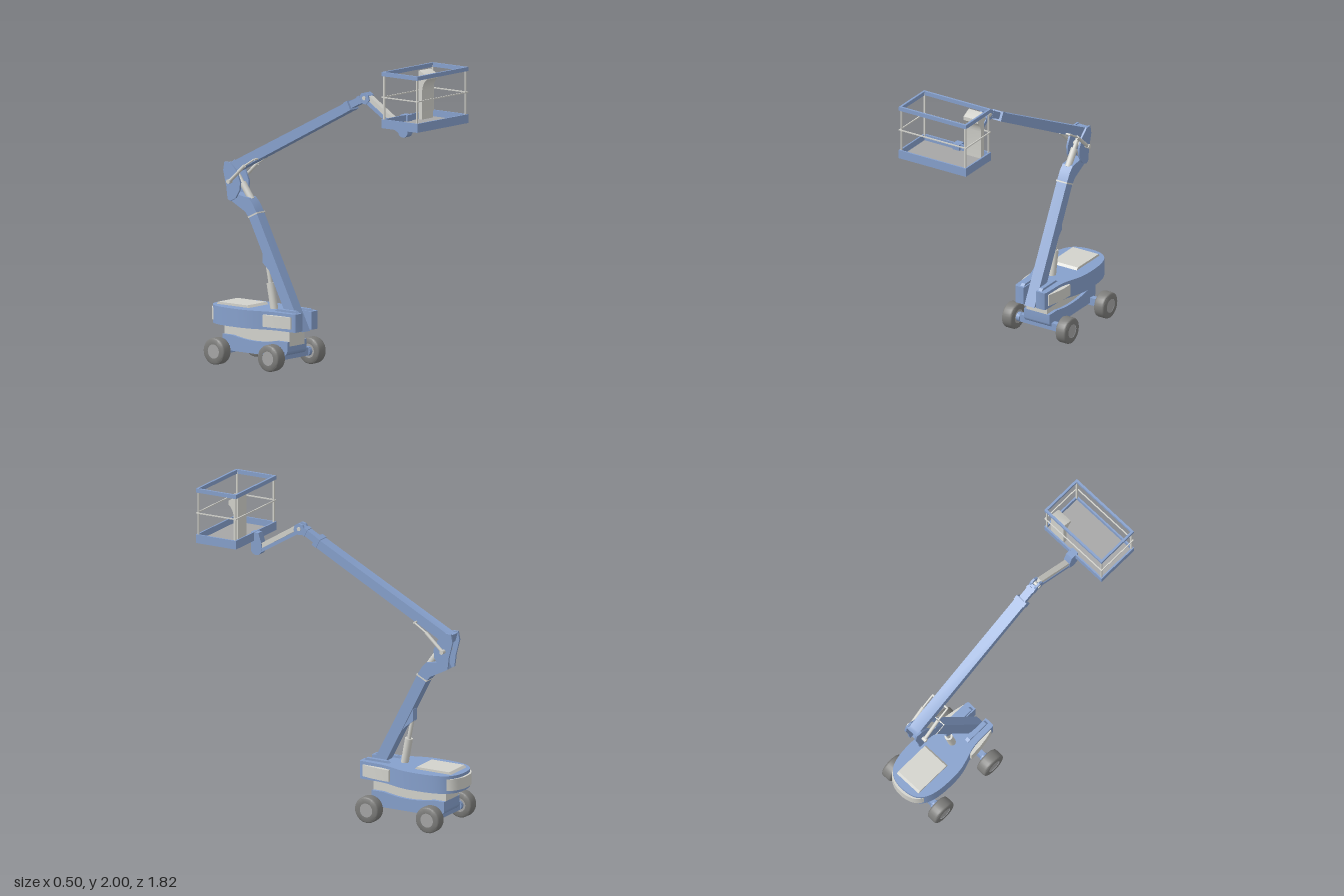
import * as THREE from 'three';
import { toCreasedNormals } from 'three/addons/utils/BufferGeometryUtils.js';

export function createModel() {
  const mat = (name, color) => {
    const m = new THREE.MeshStandardMaterial({ color });
    m.name = name;
    return m;
  };
  const blue = mat('blue paint', 0x86a0cc);
  const light = mat('light grey', 0xd2d2cc);
  const grey = mat('floor grey', 0xa5a5a5);
  const rubber = mat('tyre grey', 0x7c7c7a);

  const model = new THREE.Group();
  model.name = 'boomLift';
  const CX = 0.004; // the undercarriage sits a touch to the left

  const add = (name, geo, material) => {
    const mesh = new THREE.Mesh(geo, material);
    mesh.name = name;
    model.add(mesh);
    return mesh;
  };
  const box = (name, m, w, h, d, x, y, z) => {
    const b = add(name, new THREE.BoxGeometry(w, h, d), m);
    b.position.set(x, y, z);
    return b;
  };
  // Cylinder between two points
  const rod = (name, m, a, b, r, seg = 16) => {
    const p = new THREE.Vector3(...a), q = new THREE.Vector3(...b);
    const d = q.clone().sub(p);
    const c = add(name, new THREE.CylinderGeometry(r, r, d.length(), seg), m);
    c.position.copy(p).add(q).multiplyScalar(0.5);
    c.quaternion.setFromUnitVectors(new THREE.Vector3(0, 1, 0), d.normalize());
    return c;
  };
  // Rectangular beam between two (z, y) points
  const beam = (name, m, [z1, y1], [z2, y2], w, t, x = 0) => {
    const b = box(name, m, w, t, Math.hypot(z2 - z1, y2 - y1), x, (y1 + y2) / 2, (z1 + z2) / 2);
    b.rotation.x = Math.atan2(y1 - y2, z2 - z1);
    return b;
  };
  const shapeOf = (pts) => new THREE.Shape(pts.map((p) => new THREE.Vector2(p[0], p[1])));
  const extrude = (shape, depth) =>
    toCreasedNormals(new THREE.ExtrudeGeometry(shape, { depth, bevelEnabled: false, curveSegments: 16 }), 0.6);
  // Side profile in (z, y), extruded across x
  const side = (name, m, shape, w, x = 0) => {
    const g = extrude(shape, w);
    g.translate(0, 0, -w / 2).rotateY(-Math.PI / 2).translate(x, 0, 0);
    return add(name, g, m);
  };
  // Plan outline in (x, -z), extruded upwards from y0 to y1
  const plan = (name, m, shape, y0, y1, x = CX) => {
    const g = extrude(shape, y1 - y0);
    g.rotateX(-Math.PI / 2).translate(x, y0, 0);
    return add(name, g, m);
  };

  // Wheels, hubs and axles
  const tyre = [[0.045, -0.038], [0.074, -0.038], [0.082, -0.033], [0.085, -0.024],
    [0.085, 0.024], [0.082, 0.033], [0.074, 0.038], [0.045, 0.038]];
  const tyreGeo = toCreasedNormals(
    new THREE.LatheGeometry(tyre.map((p) => new THREE.Vector2(...p)), 32).rotateZ(Math.PI / 2), 0.7);
  for (const z of [-0.317, -0.757]) {
    for (const s of [-1, 1]) {
      const x = CX + s * 0.2;
      add('tyre', tyreGeo, rubber).position.set(x, 0.085, z);
      rod('hub', grey, [x - 0.034, 0.085, z], [x + 0.034, 0.085, z], 0.046, 24);
      rod('axleFlange', blue, [CX + s * 0.14, 0.085, z], [CX + s * 0.165, 0.085, z], 0.03);
    }
    box('axle', blue, 0.32, 0.05, 0.036, CX, 0.086, z);
  }

  // Chassis with a dipped top
  const chassis = new THREE.Shape();
  chassis.moveTo(-0.80, 0.12);
  chassis.quadraticCurveTo(-0.80, 0.075, -0.70, 0.075);
  chassis.lineTo(-0.38, 0.075);
  chassis.quadraticCurveTo(-0.275, 0.075, -0.275, 0.12);
  chassis.lineTo(-0.275, 0.175);
  chassis.lineTo(-0.36, 0.175);
  chassis.quadraticCurveTo(-0.54, 0.135, -0.72, 0.175);
  chassis.lineTo(-0.80, 0.175);
  side('chassis', blue, chassis, 0.19, CX);
  box('slewBase', light, 0.15, 0.105, 0.525, CX, 0.1975, -0.5375);

  // Turret body: rounded rear, narrow front with a slot for the boom
  const body = new THREE.Shape();
  body.moveTo(0.045, 0.195);
  body.lineTo(0.105, 0.195);
  body.quadraticCurveTo(0.115, 0.2, 0.115, 0.22);
  body.lineTo(0.118, 0.34);
  body.bezierCurveTo(0.125, 0.45, 0.175, 0.48, 0.176, 0.62);
  body.bezierCurveTo(0.18, 0.83, 0.13, 0.895, 0, 0.895);
  body.bezierCurveTo(-0.13, 0.895, -0.18, 0.83, -0.176, 0.62);
  body.bezierCurveTo(-0.175, 0.48, -0.125, 0.45, -0.118, 0.34);
  body.lineTo(-0.115, 0.22);
  body.quadraticCurveTo(-0.115, 0.2, -0.105, 0.195);
  body.lineTo(-0.045, 0.195);
  body.lineTo(-0.045, 0.33);
  body.lineTo(0.045, 0.33);
  plan('turret', blue, body, 0.245, 0.36);

  // Rear counterweight band, side panels, deck rails and hatch
  const weight = new THREE.Shape();
  weight.moveTo(-0.135, 0.84);
  weight.bezierCurveTo(-0.1, 0.935, 0.1, 0.935, 0.135, 0.84);
  plan('counterweight', light, weight, 0.265, 0.34);
  for (const s of [-1, 1]) {
    const pts = [[0.1, 0.225], [0.122, 0.225], [0.137, 0.29], [0.148, 0.36], [0.15, 0.43], [0.1, 0.43]];
    plan('sidePanel', light, shapeOf(pts.map(([x, z]) => [s * x, z])), 0.265, 0.34);
    const rail = [[-0.21, 0.36], [-0.225, 0.374], [-0.37, 0.374], [-0.39, 0.36]];
    side('deckRail', blue, shapeOf(rail), 0.026, CX + s * 0.066);
  }
  side('rearHatch', light,
    shapeOf([[-0.85, 0.358], [-0.835, 0.375], [-0.60, 0.375], [-0.585, 0.358]]), 0.19, CX);

  // Lower boom with cranked head and cylinder bracket
  side('lowerBoom', blue, shapeOf([[-0.196, 0.24], [-0.571, 0.96], [-0.603, 1.013], [-0.635, 1.045],
    [-0.75, 1.062], [-0.775, 1.013], [-0.661, 0.955], [-0.63, 0.918], [-0.35, 0.373], [-0.28, 0.24]]), 0.074);
  side('cylinderBracket', blue, shapeOf([[-0.44, 0.56], [-0.471, 0.595], [-0.529, 0.643],
    [-0.529, 0.717], [-0.5, 0.72]]), 0.05);
  beam('boomBand', light, [-0.598, 0.936], [-0.602, 0.944], 0.08, 0.082);
  rod('liftCylinder', light, [0, 0.35, -0.455], [0, 0.52, -0.487], 0.025);
  rod('liftRod', light, [0, 0.52, -0.487], [0, 0.64, -0.512], 0.013);

  // Elbow plates and the rams around them
  const elbow = [[-0.693, 1.14], [-0.725, 1.21], [-0.778, 1.257], [-0.82, 1.257], [-0.83, 1.204],
    [-0.804, 1.103], [-0.794, 1.024], [-0.772, 1.013], [-0.73, 1.035], [-0.698, 1.088]];
  for (const s of [-1, 1]) {
    side('elbowPlate', blue, shapeOf(elbow), 0.013, s * 0.043);
    rod('elbowRam', light, [s * 0.064, 1.14, -0.767], [s * 0.064, 1.25, -0.645], 0.011);
    rod('elbowRamRod', light, [s * 0.064, 1.25, -0.645], [s * 0.064, 1.3, -0.565], 0.006);
  }
  rod('elbowPin', light, [-0.08, 1.14, -0.767], [0.08, 1.14, -0.767], 0.014);
  rod('ramCrossPin', light, [-0.068, 1.3, -0.562], [0.068, 1.3, -0.562], 0.007);
  rod('centreRam', light, [0, 1.03, -0.64], [0, 1.13, -0.712], 0.022);
  rod('centreRamRod', light, [0, 1.13, -0.712], [0, 1.2, -0.762], 0.013);

  // Upper telescopic boom
  side('upperBoom', blue, shapeOf([[-0.82, 1.25], [-0.79, 1.25], [0.15, 1.73], [0.175, 1.68],
    [0.15, 1.665], [-0.74, 1.2], [-0.80, 1.19]]), 0.074);
  beam('boomCollar', blue, [0.15, 1.70], [0.18, 1.716], 0.084, 0.062);
  beam('innerBoom', blue, [0.14, 1.697], [0.285, 1.772], 0.05, 0.044);
  beam('innerCollar', blue, [0.245, 1.752], [0.265, 1.762], 0.058, 0.05);

  // Knuckle and jib
  for (const s of [-1, 1]) {
    side('knucklePlate', blue, shapeOf([[0.25, 1.765], [0.27, 1.8], [0.3, 1.808], [0.325, 1.793],
      [0.335, 1.76], [0.31, 1.733], [0.275, 1.737]]), 0.014, s * 0.021);
  }
  rod('knucklePin', light, [-0.032, 1.772, 0.295], [0.032, 1.772, 0.295], 0.013);
  beam('jib', blue, [0.3, 1.752], [0.6, 1.572], 0.044, 0.022);
  beam('jibRam', light, [0.32, 1.775], [0.585, 1.611], 0.036, 0.03);

  // Rotator holding the basket
  const rot = new THREE.Shape();
  rot.moveTo(0.645, 1.70);
  rot.lineTo(0.59, 1.70);
  rot.lineTo(0.57, 1.64);
  rot.lineTo(0.567, 1.593);
  rot.absarc(0.606, 1.593, 0.039, Math.PI, Math.PI * 2, false);
  side('rotator', blue, rot, 0.05);

  // Basket: floor, toe boards, posts and rails
  const X = 0.25, Z0 = 0.622, Z1 = 0.912, ZC = (Z0 + Z1) / 2, BX = -0.002;
  box('basketFloor', grey, 0.49, 0.012, 0.28, BX, 1.654, ZC);
  const ring = (name, m, y, h, t) => {
    for (const s of [-1, 1]) {
      box(name, m, t, h, Z1 - Z0, BX + s * (X - t / 2), y, ZC);
      box(name, m, 2 * X - 2 * t, h, t, BX, y, ZC + s * ((Z1 - Z0) / 2 - t / 2));
    }
  };
  ring('toeBoard', blue, 1.673, 0.056, 0.01);
  ring('topRail', blue, 1.987, 0.026, 0.014);
  ring('midRail', light, 1.84, 0.007, 0.007);
  for (const sx of [-1, 1]) {
    for (const z of [Z0 + 0.012, Z1 - 0.012]) {
      box('post', light, 0.01, 0.29, 0.01, BX + sx * (X - 0.012), 1.84, z);
    }
  }

  // Control console with a flared top
  const panel = new THREE.Shape();
  panel.moveTo(0.635, 1.66);
  panel.lineTo(0.665, 1.66);
  panel.lineTo(0.665, 1.84);
  panel.quadraticCurveTo(0.67, 1.89, 0.702, 1.915);
  panel.lineTo(0.702, 1.94);
  panel.lineTo(0.645, 1.967);
  panel.lineTo(0.635, 1.967);
  side('controlConsole', light, panel, 0.108, 0.148);

  return model;
}
